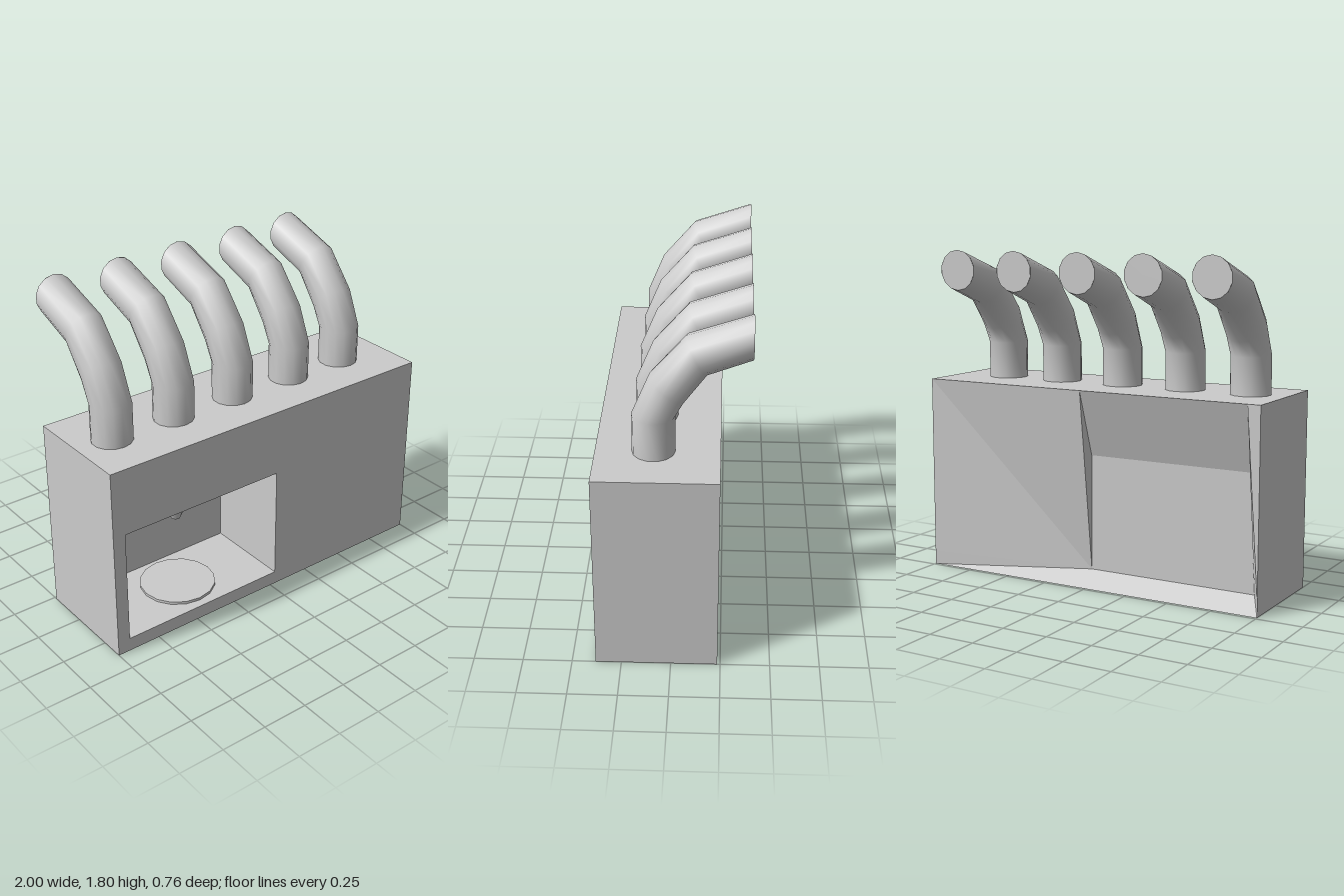
import * as THREE from 'three';

const material = new THREE.MeshStandardMaterial({ color: 0xcccccc, side: THREE.DoubleSide });

function add(parent, name, geometry, x = 0, y = 0, z = 0) {
  const mesh = new THREE.Mesh(geometry, material);
  mesh.name = name;
  mesh.position.set(x, y, z);
  parent.add(mesh);
  return mesh;
}

// Flat polygons, each a convex fan of corners listed counter-clockwise from outside
function polygons(faces) {
  const points = [];
  for (const f of faces)
    for (let i = 1; i < f.length - 1; i++) points.push(...f[0], ...f[i], ...f[i + 1]);
  const g = new THREE.BufferGeometry();
  g.setAttribute('position', new THREE.Float32BufferAttribute(points, 3));
  g.computeVertexNormals();
  return g;
}

// Outer casing and front alcove limits
const H = 1.07, FRONT = 0.38, BACK = -0.235;
const X0 = -0.93, X1 = 0.03, Y0 = 0.075, Y1 = 0.705, DEEP = -0.11;

function buildBody(group) {
  const body = new THREE.Group();
  body.name = 'body';
  group.add(body);

  // Front panel with the alcove opening
  const shape = new THREE.Shape([[-1, 0], [1, 0], [1, H], [-1, H]].map(p => new THREE.Vector2(...p)));
  shape.holes.push(new THREE.Path([[X0, Y0], [X0, Y1], [X1, Y1], [X1, Y0]].map(p => new THREE.Vector2(...p))));
  add(body, 'frontPanel', new THREE.ShapeGeometry(shape), 0, 0, FRONT);

  // Sides, top and bottom
  const f = (x, y) => [x, y, FRONT], b = (x, y) => [x, y, BACK], d = (x, y) => [x, y, DEEP];
  add(body, 'casing', polygons([
    [f(1, 0), b(1, 0), b(1, H), f(1, H)],
    [b(-1, 0), f(-1, 0), f(-1, H), b(-1, H)],
    [f(-1, H), f(1, H), b(1, H), b(-1, H)],
    [b(-1, 0), b(1, 0), f(1, 0), f(-1, 0)],
  ]));

  // Alcove walls, facing inwards
  add(body, 'alcove', polygons([
    [d(X0, Y0), d(X1, Y0), d(X1, Y1), d(X0, Y1)],
    [f(X0, Y0), d(X0, Y0), d(X0, Y1), f(X0, Y1)],
    [d(X1, Y0), f(X1, Y0), f(X1, Y1), d(X1, Y1)],
    [f(X0, Y0), f(X1, Y0), d(X1, Y0), d(X0, Y0)],
    [d(X0, Y1), d(X1, Y1), f(X1, Y1), f(X0, Y1)],
  ]));

  // Rear panel, folding inwards to the back of the alcove
  add(body, 'rearPanel', polygons([
    [b(1, H), b(1, Y0), d(X1, Y0), b(X1, H)],
    [b(X1, H), d(X1, Y0), d(X1, Y1)],
    [b(X1, H), d(X1, Y1), d(X0, Y1), b(X0, H)],
    [d(X1, Y1), d(X1, Y0), d(X0, Y0), d(X0, Y1)],
    [b(X0, H), d(X0, Y1), d(X0, Y0), b(-1, Y0), b(-1, H)],
    [b(1, Y0), b(1, 0), d(X1, Y0)],
    [b(1, 0), b(X0, 0), d(X0, Y0), d(X1, Y0)],
    [d(X0, Y0), b(X0, 0), b(-1, 0), b(-1, Y0)],
  ]));
}

// Bent pipe: rings given by centre (z, y) and a half-axis (z, y) to the outside of the bend
function pipeGeometry() {
  const rings = [
    [0.093, H, 0.107, 0],
    [0.093, 1.272, 0.107, 0.003],
    [0.025, 1.42, 0.085, 0.07],
    [-0.117, 1.595, 0.052, 0.095],
    [-0.38, 1.688, 0, 0.107],
  ];
  const n = 14, r = 0.108, pos = [], index = [];
  rings.forEach(([z, y, az, ay], k) => {
    for (let i = 0; i < n; i++) {
      const a = (i / n) * Math.PI * 2, c = Math.cos(a);
      pos.push(r * Math.sin(a), y + ay * c, z + az * c);
      if (k === 0) continue;
      const p = (k - 1) * n + i, q = (k - 1) * n + (i + 1) % n;
      index.push(p, q, p + n, q, q + n, p + n);
    }
  });
  const g = new THREE.BufferGeometry();
  g.setAttribute('position', new THREE.Float32BufferAttribute(pos, 3));
  g.setIndex(index);
  g.computeVertexNormals();
  return g;
}

export function createModel() {
  const group = new THREE.Group();
  group.name = 'dispenser';
  buildBody(group);

  // Row of exhaust pipes with closed ends
  const pipe = pipeGeometry();
  const cap = new THREE.CircleGeometry(0.1075, 14, Math.PI / 2).rotateY(Math.PI);
  for (const x of [-0.8, -0.425, -0.045, 0.34, 0.7]) {
    const unit = new THREE.Group();
    unit.name = 'pipe';
    unit.position.x = x;
    group.add(unit);
    add(unit, 'pipeTube', pipe);
    add(unit, 'pipeEnd', cap, 0, 1.688, -0.38);
  }

  // Nozzle and round plate inside the alcove
  const nozzle = new THREE.Group();
  nozzle.name = 'nozzle';
  nozzle.position.set(-0.453, 0, 0.13);
  group.add(nozzle);
  add(nozzle, 'nozzleCollar', new THREE.CylinderGeometry(0.068, 0.068, 0.1, 16, 1, true), 0, 0.655, 0);
  add(nozzle, 'nozzleTip', new THREE.CylinderGeometry(0.068, 0.025, 0.108, 16), 0, 0.551, 0);
  add(group, 'plate', new THREE.CylinderGeometry(0.205, 0.205, 0.015, 16), -0.45, 0.0825, 0.13);

  return group;
}
